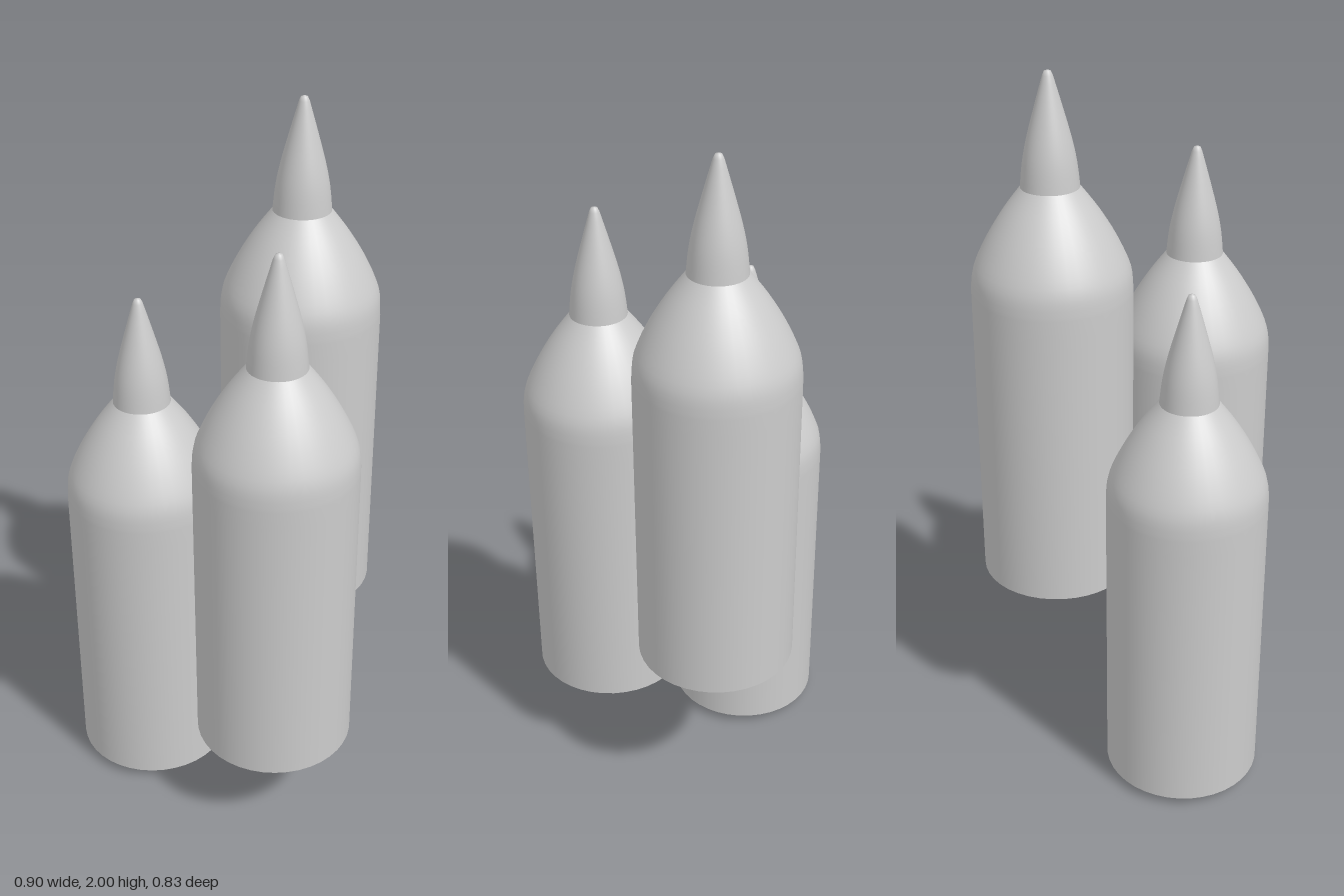
import * as THREE from 'three';

const material = new THREE.MeshStandardMaterial({ color: 0xcccccc });
const SIDES = 40;

const vectors = (pairs) => pairs.map(([r, y]) => new THREE.Vector2(r, y));

function lathe(name, points) {
  const mesh = new THREE.Mesh(new THREE.LatheGeometry(points, SIDES), material);
  mesh.name = name;
  return mesh;
}

function createBottle() {
  const bottle = new THREE.Group();

  // Slightly domed underside, creased where it meets the wall
  bottle.add(lathe('base', vectors([[0, 0], [0.09, 0.003], [0.16, 0.009], [0.205, 0.017], [0.222, 0.026]])));

  // Straight wall running smoothly into the rounded shoulder
  const shoulder = new THREE.SplineCurve(vectors([
    [0.222, 0.9], [0.215, 0.965], [0.18, 1.045], [0.132, 1.125], [0.08, 1.195],
  ])).getPoints(16);
  bottle.add(lathe('body', [...vectors([[0.222, 0.026], [0.222, 0.45], [0.222, 0.85]]), ...shoulder]));

  // Tapered nozzle with a small rounded tip
  const nozzle = new THREE.SplineCurve(vectors([
    [0.08, 1.195], [0.073, 1.26], [0.06, 1.325], [0.037, 1.41], [0.014, 1.49],
  ])).getPoints(12);
  bottle.add(lathe('nozzle', [...nozzle, ...vectors([[0.009, 1.501], [0, 1.504]])]));

  return bottle;
}

export function createModel() {
  const model = new THREE.Group();
  model.name = 'bottleCluster';

  // Three equal bottles at stepped heights
  const placements = [
    ['rightBottle', -0.227, 0, 0.191],
    ['leftBottle', 0.225, 0.245, 0.191],
    ['backBottle', 0.035, 0.496, -0.193],
  ];
  for (const [name, x, y, z] of placements) {
    const bottle = createBottle();
    bottle.name = name;
    bottle.position.set(x, y, z);
    model.add(bottle);
  }
  return model;
}
